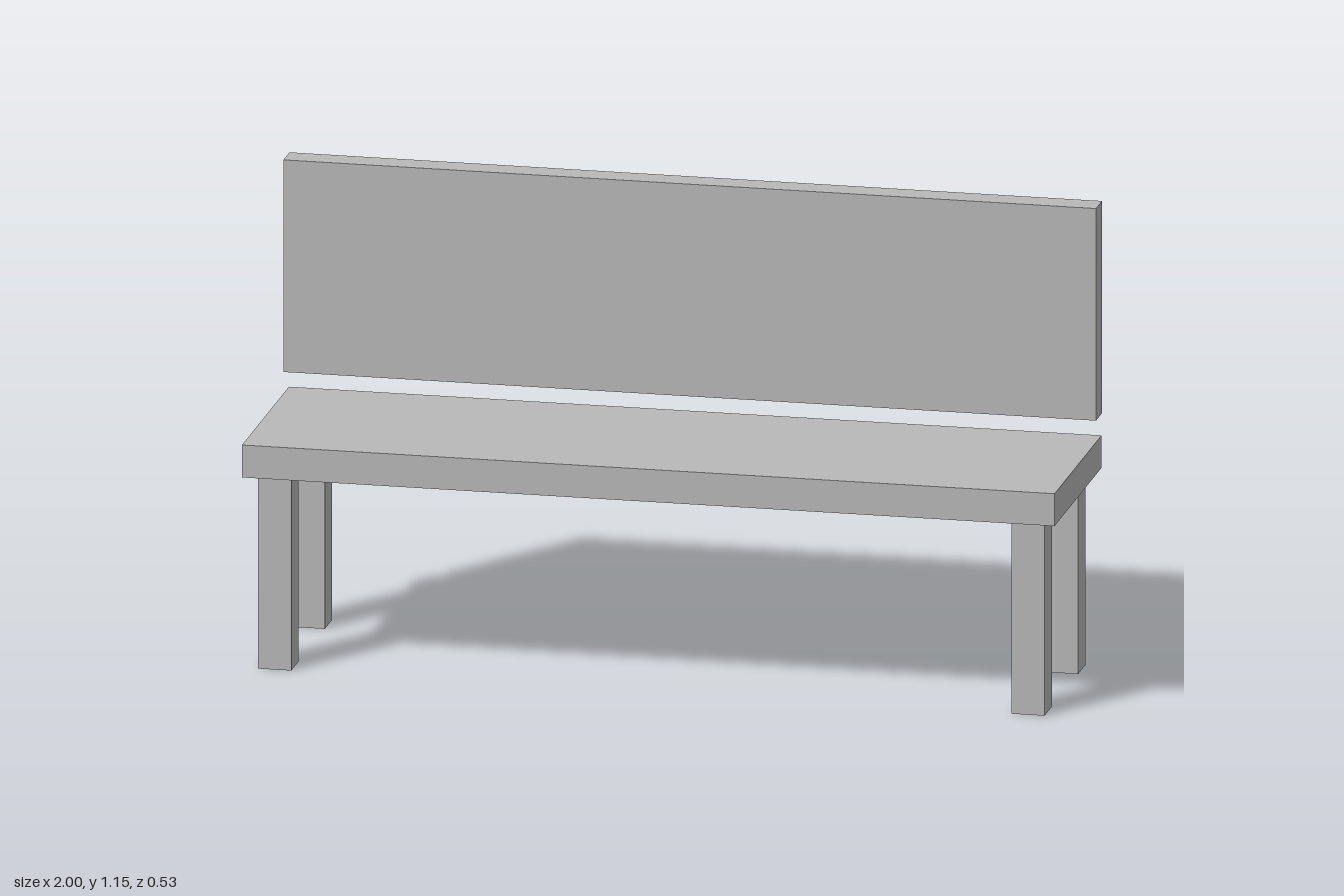
import * as THREE from 'three';

export function createModel() {
  const bench = new THREE.Group();
  bench.name = 'bench';
  const grey = new THREE.MeshStandardMaterial({ color: 0xb8b8b8 });
  grey.name = 'light grey';

  // Box given by its lower and upper corners
  const addBox = (name, [x0, y0, z0], [x1, y1, z1]) => {
    const mesh = new THREE.Mesh(new THREE.BoxGeometry(x1 - x0, y1 - y0, z1 - z0), grey);
    mesh.position.set((x0 + x1) / 2, (y0 + y1) / 2, (z0 + z1) / 2);
    mesh.name = name;
    bench.add(mesh);
  };

  // Seat slab and the separate backrest floating above its rear edge
  addBox('seat', [-1, 0.485, -0.26], [1, 0.566, 0.266]);
  addBox('backrest', [-1, 0.62, -0.266], [1, 1.15, -0.198]);

  // Four square legs
  const legSize = 0.082, legX = 0.927;
  for (const [end, z] of [['front', 0.191], ['back', -0.185]]) {
    for (const [side, x] of [['Left', legX], ['Right', -legX]]) {
      const h = legSize / 2;
      addBox(`${end}${side}Leg`, [x - h, 0, z - h], [x + h, 0.485, z + h]);
    }
  }
  return bench;
}
